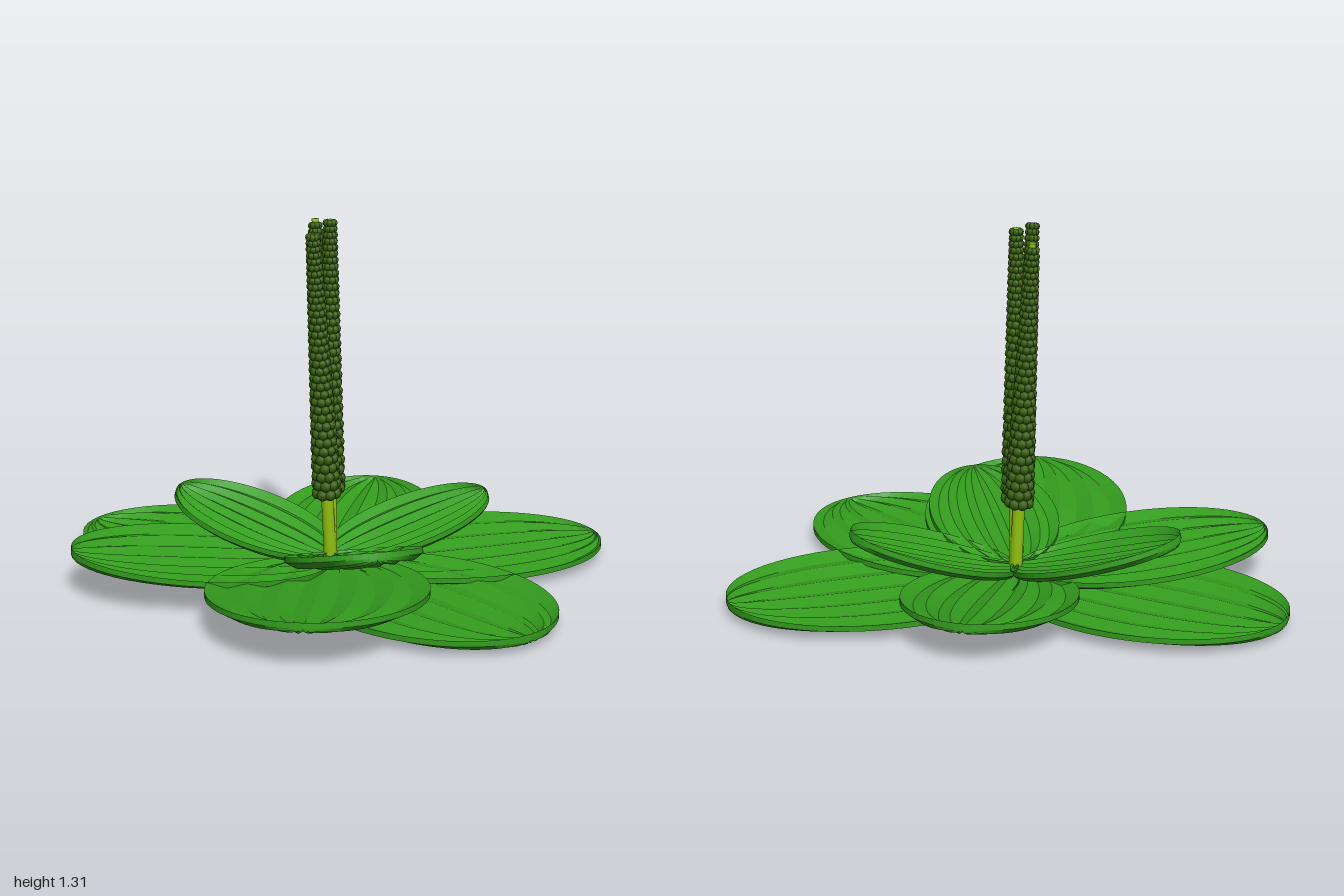
import * as THREE from 'three';
import { mergeGeometries } from 'three/addons/utils/BufferGeometryUtils.js';

const leafMat = new THREE.MeshStandardMaterial({ color: 0x349c1e, flatShading: true });
const seedMat = new THREE.MeshStandardMaterial({ color: 0x38600c });
const stalkMat = new THREE.MeshStandardMaterial({ color: 0x9acd12 });
const ROOT = new THREE.Vector3(-0.06, 0, -0.06);

// Elliptical leaf along +x: a thin, shallow dish pleated along its veins
function leafGeometry(length) {
  const stations = 28, strips = 12, thick = 0.02;
  const ring = 2 * (strips + 1), pos = [], index = [];
  for (let i = 0; i <= stations; i++) {
    const a = Math.PI * i / stations, s = Math.sin(a);
    for (let k = 0; k < ring; k++) {
      const under = k > strips;
      const j = under ? ring - 1 - k : k;
      const v = 2 * j / strips - 1;
      const inner = Math.abs(v) < 0.99 ? 1 : 0;
      const fold = j % 2 ? 0.017 : 0;
      const dip = (0.022 * (1 - v * v) + fold * inner) * Math.sqrt(Math.max(s, 0));
      pos.push(length / 2 * (1 - Math.cos(a)), -dip - (under ? thick : 0), 0.375 * length * s * v);
    }
  }
  for (let i = 0; i < stations; i++) {
    for (let k = 0; k < ring; k++) {
      const a = i * ring + k, b = i * ring + (k + 1) % ring;
      index.push(a, b, a + ring, b, b + ring, a + ring);
    }
  }
  const g = new THREE.BufferGeometry();
  g.setAttribute('position', new THREE.Float32BufferAttribute(pos, 3));
  g.setIndex(index);
  const flat = g.toNonIndexed();
  flat.computeVertexNormals();
  return flat;
}

// Leaf whose tip lies at (x, z) and rises from the root by a slope
function makeLeaf(name, x, z, baseY, rise) {
  const dx = x - ROOT.x, dz = z - ROOT.z, run = Math.hypot(dx, dz);
  const leaf = new THREE.Mesh(leafGeometry(Math.hypot(run, rise)), leafMat);
  leaf.name = name;
  leaf.position.set(ROOT.x, baseY, ROOT.z);
  leaf.rotation.order = 'YZX';
  leaf.rotation.y = Math.atan2(-dz, dx);
  leaf.rotation.z = Math.atan2(rise, run);
  return leaf;
}

// Stalk with a tapering spike of staggered seed beads
function makeSpike(tip) {
  const group = new THREE.Group();
  group.name = 'flowerSpike';
  const base = ROOT.clone().setY(0.03);
  const dir = tip.clone().sub(base), length = dir.length();
  group.position.copy(base);
  group.quaternion.setFromUnitVectors(new THREE.Vector3(0, 1, 0), dir.normalize());

  const stalk = new THREE.Mesh(
    new THREE.CylinderGeometry(0.012, 0.024, length, 10).translate(0, length / 2, 0), stalkMat);
  stalk.name = 'stalk';
  group.add(stalk);

  const beads = [], start = 0.3, perRow = 8;
  let y = start;
  for (let row = 0; y < length - 0.008; row++) {
    const t = (y - start) / (length - start);
    const bead = 0.022 - 0.009 * t;
    const radius = 0.035 - 0.021 * t;
    for (let i = 0; i < perRow; i++) {
      const a = (i + (row % 2) / 2) / perRow * Math.PI * 2;
      beads.push(new THREE.SphereGeometry(bead, 8, 6)
        .translate(Math.cos(a) * radius, y, Math.sin(a) * radius));
    }
    y += bead * 1.6;
  }
  const seeds = new THREE.Mesh(mergeGeometries(beads), seedMat);
  seeds.name = 'seeds';
  group.add(seeds);
  return group;
}

export function createModel() {
  const model = new THREE.Group();
  model.name = 'rosettePlant';

  // Three tiers of leaves: tip positions, base height and rise
  const tiers = [
    { name: 'lowerLeaf', y: 0.06, rise: 0, tips: [[1, -0.06], [-0.75, -0.85], [0.3, 0.93]] },
    { name: 'middleLeaf', y: 0.07, rise: 0.1, tips: [[-1, -0.16], [-0.47, 0.88], [0.36, -0.75]] },
    { name: 'upperLeaf', y: 0.085, rise: 0.3, tips: [[0.55, -0.08], [-0.1, 0.55], [-0.5, -0.5]] },
  ];
  for (const { name, y, rise, tips } of tiers) {
    for (const [x, z] of tips) {
      const run = Math.hypot(x - ROOT.x, z - ROOT.z);
      model.add(makeLeaf(name, x, z, y, rise * run));
    }
  }

  // Three spikes fanning from the root
  for (const [x, y, z] of [[-0.18, 1.29, 0.11], [-0.06, 1.31, -0.06], [-0.06, 1.29, -0.23]]) {
    model.add(makeSpike(new THREE.Vector3(x, y, z)));
  }
  return model;
}
